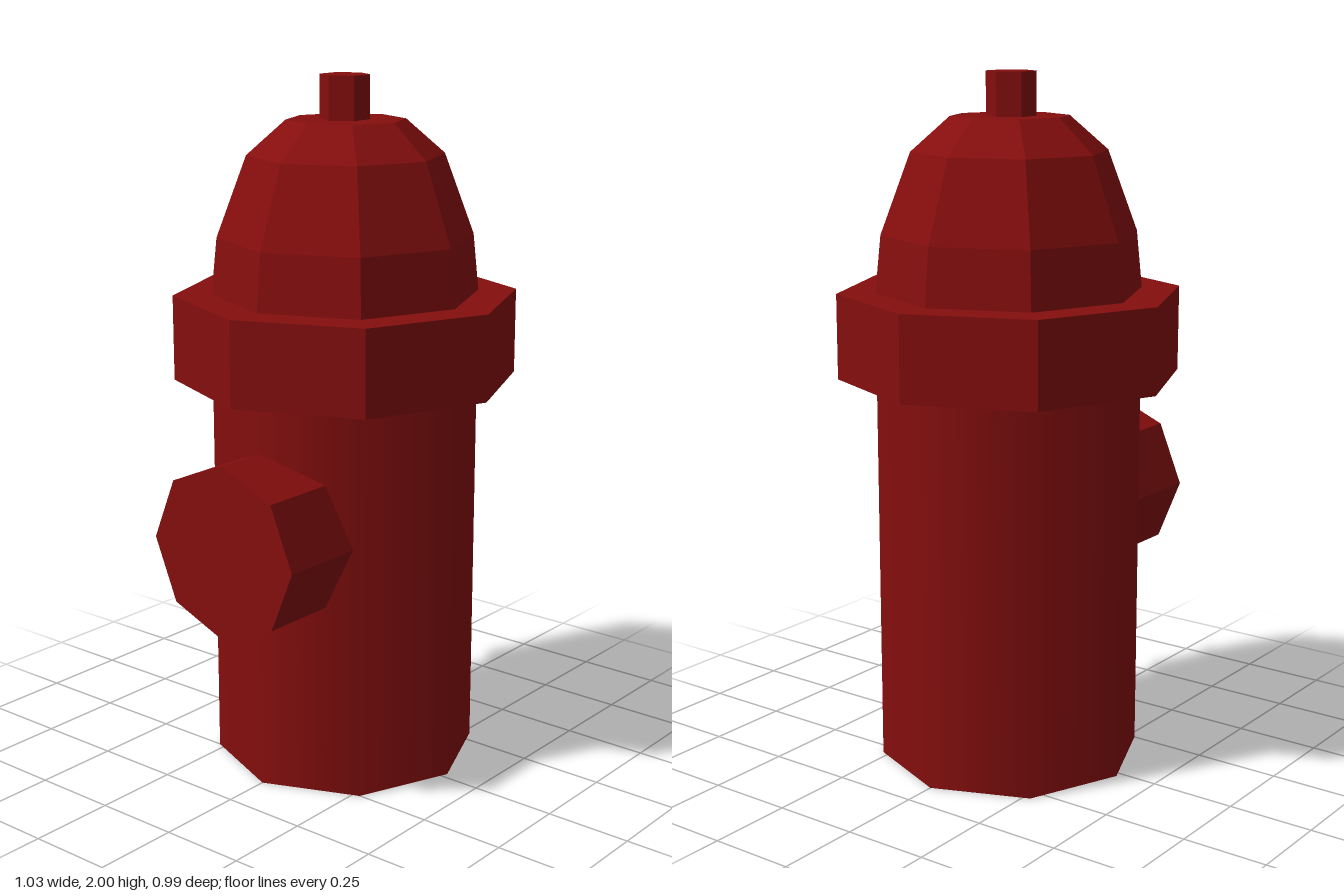
import * as THREE from 'three';

export function createModel() {
  const model = new THREE.Group();
  model.name = 'fireHydrant';

  const color = 0x860e0e;
  const flat = new THREE.MeshStandardMaterial({ color, flatShading: true });
  const smooth = new THREE.MeshStandardMaterial({ color, side: THREE.DoubleSide });

  function add(name, geometry, material, x, y, z = 0) {
    const mesh = new THREE.Mesh(geometry, material);
    mesh.name = name;
    mesh.position.set(x, y, z);
    model.add(mesh);
    return mesh;
  }

  const axisX = 0.02;

  // Smooth-shaded eight-sided barrel, open underneath
  add('barrel', new THREE.CylinderGeometry(0.383, 0.383, 1.16, 8, 1, true), smooth, axisX, 0.58);

  // Wide octagonal collar
  add('collar', new THREE.CylinderGeometry(0.493, 0.493, 0.245, 8), flat, axisX, 1.2645);

  // Faceted dome with a flat top
  const profile = [[0.383, 1.385], [0.366, 1.55], [0.28, 1.78], [0.169, 1.877], [0, 1.877]]
    .map(([r, y]) => new THREE.Vector2(r, y));
  add('dome', new THREE.LatheGeometry(profile, 8), flat, axisX, 0);

  // Hexagonal valve stem
  const stem = new THREE.CylinderGeometry(0.071, 0.071, 0.13, 6, 1, false, Math.PI / 2);
  add('valveStem', stem, flat, axisX + 0.002, 1.935, -0.006);

  // Octagonal side outlet
  const outlet = new THREE.CylinderGeometry(0.252, 0.252, 0.32, 8).rotateZ(Math.PI / 2);
  add('sideOutlet', outlet, flat, -0.357, 0.74);

  return model;
}
